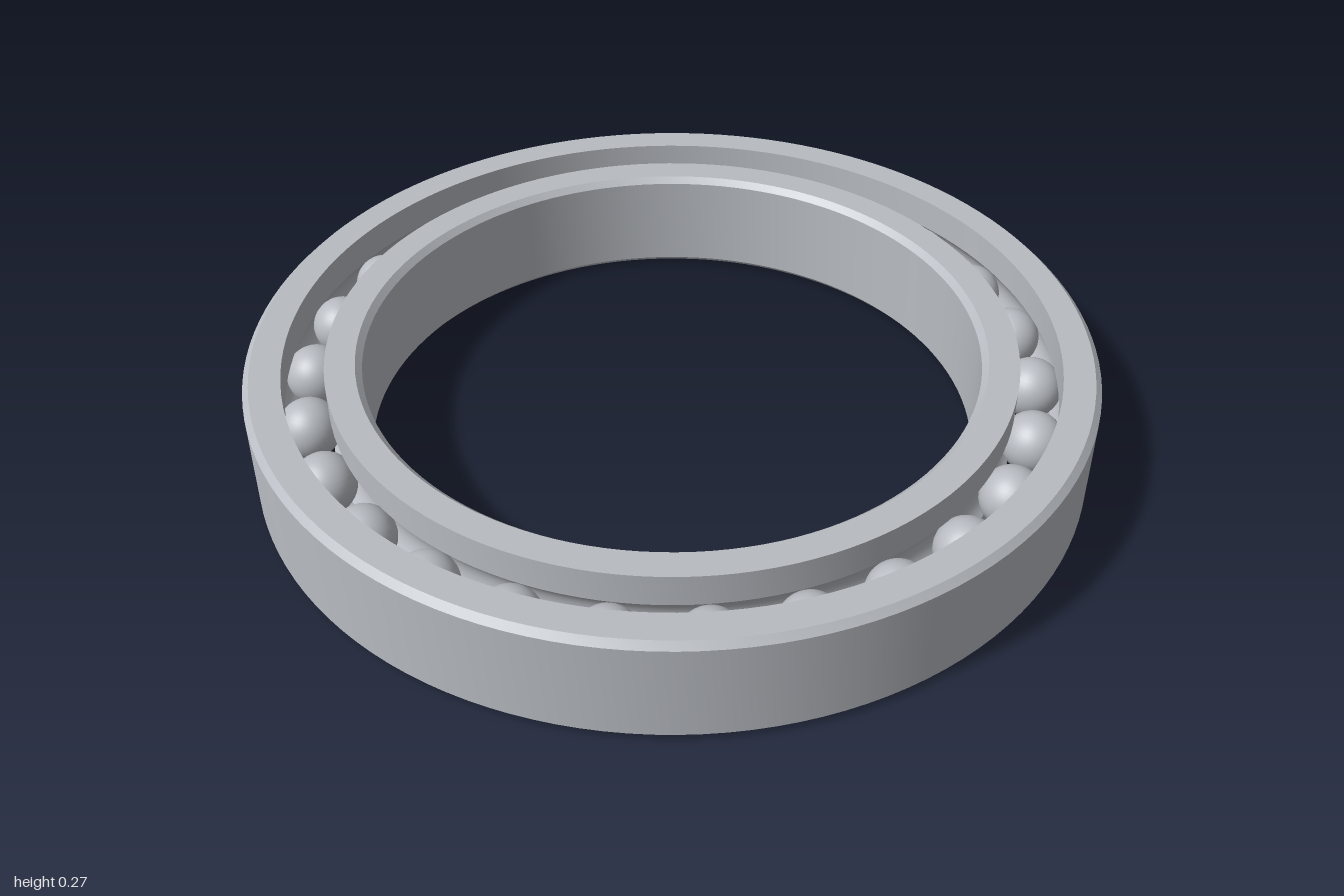
import * as THREE from 'three';
import { toCreasedNormals } from 'three/addons/utils/BufferGeometryUtils.js';

const H = 0.267;          // bearing height
const MID = H / 2;
const CHAMFER = 0.015;
const PITCH = 0.863;      // radius of the ball circle
const BALL_R = 0.073;
const BALLS = 26;

// Closed ring section, counterclockwise in (radius, y)
function makeRing(points, material, name) {
  const profile = points.map(([r, y]) => new THREE.Vector2(r, y));
  profile.push(profile[0].clone());
  const geometry = toCreasedNormals(new THREE.LatheGeometry(profile, 128), Math.PI / 7);
  const mesh = new THREE.Mesh(geometry, material);
  mesh.name = name;
  return mesh;
}

// Raceway groove in a shoulder wall; side +1 = outer ring, -1 = inner ring
function groove(wall, side) {
  const radius = BALL_R + 0.001;
  const half = Math.acos(Math.abs(wall - PITCH) / radius);
  const points = [];
  for (let i = 0; i <= 12; i++) {
    const a = half * (1 - i / 6);
    points.push([PITCH + side * radius * Math.cos(a), MID + side * radius * Math.sin(a)]);
  }
  return points;
}

export function createModel() {
  const group = new THREE.Group();
  group.name = 'ballBearing';
  const steel = new THREE.MeshStandardMaterial({ color: 0xb8bcc2 });
  steel.name = 'steel';

  // Outer ring: chamfered outside, grooved inside
  const outerWall = 0.912;
  group.add(makeRing([
    [outerWall, 0], [1 - CHAMFER, 0], [1, CHAMFER],
    [1, H - CHAMFER], [1 - CHAMFER, H], [outerWall, H],
    ...groove(outerWall, 1),
  ], steel, 'outerRing'));

  // Inner ring: grooved outside, chamfered bore
  const innerWall = 0.814, bore = 0.728;
  group.add(makeRing([
    [bore + CHAMFER, 0], [innerWall, 0],
    ...groove(innerWall, -1),
    [innerWall, H], [bore + CHAMFER, H], [bore, H - CHAMFER], [bore, CHAMFER],
  ], steel, 'innerRing'));

  // Balls, evenly spaced between the rings
  const balls = new THREE.Group();
  balls.name = 'balls';
  const ballGeometry = new THREE.SphereGeometry(BALL_R, 32, 20);
  for (let i = 0; i < BALLS; i++) {
    const a = (i / BALLS) * Math.PI * 2;
    const ball = new THREE.Mesh(ballGeometry, steel);
    ball.name = 'ball';
    ball.position.set(PITCH * Math.cos(a), MID, PITCH * Math.sin(a));
    balls.add(ball);
  }
  group.add(balls);
  return group;
}
